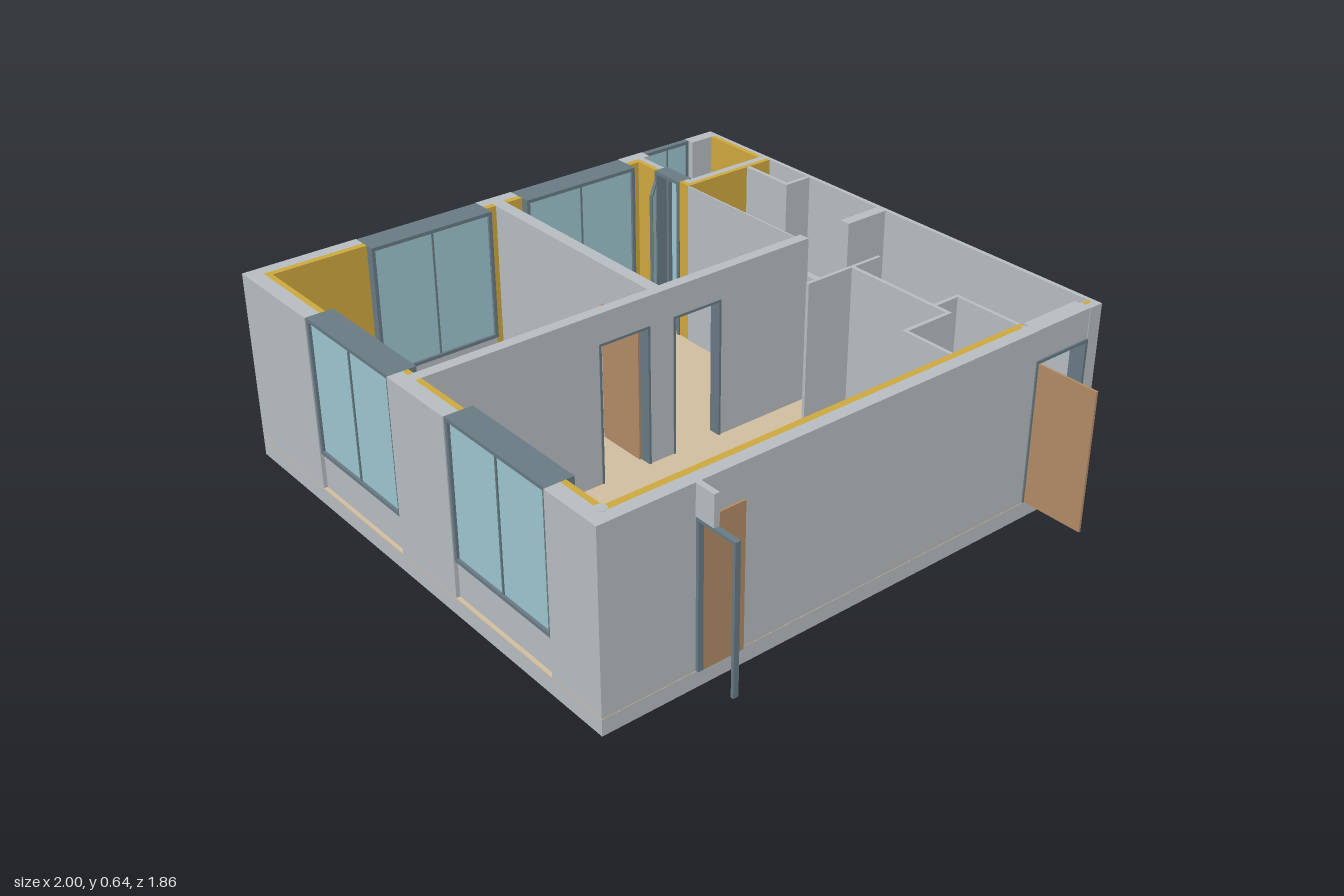
import * as THREE from 'three';

export function createModel() {
  const root = new THREE.Group();
  const mat = (name, color) => {
    const m = new THREE.MeshStandardMaterial({ color });
    m.name = name;
    return m;
  };
  const wallMat = mat('wall grey', 0xb6bcc0);
  const insulMat = mat('insulation yellow', 0xcda73f);
  const floorMat = mat('floor beige', 0xd0bda0);
  const frameMat = mat('frame slate', 0x687a83);
  const glassMat = mat('glass blue', 0x9cc4ce);
  const doorMat = mat('door brown', 0xb08a66);

  const F = 0.058, H = 0.64, DOOR = 0.54, SILL = 0.18;

  // Box from its limits on each axis
  const box = (name, m, x0, x1, z0, z1, y0 = F, y1 = H, parent = root) => {
    const b = new THREE.Mesh(new THREE.BoxGeometry(x1 - x0, y1 - y0, z1 - z0), m);
    b.position.set((x0 + x1) / 2, (y0 + y1) / 2, (z0 + z1) / 2);
    b.name = name;
    parent.add(b);
    return b;
  };
  // Box running along 'x' or 'z': a = along, c = across
  const run = (name, m, axis, a0, a1, c0, c1, y0, y1, parent) => axis === 'x'
    ? box(name, m, a0, a1, c0, c1, y0, y1, parent)
    : box(name, m, c0, c1, a0, a1, y0, y1, parent);
  // Full-height wall left open over the given gaps
  const wall = (name, m, axis, a0, a1, c0, c1, gaps = []) => {
    let s = a0;
    for (const [g0, g1] of [...gaps, [a1, a1]]) {
      if (g0 - s > 0.001) run(name, m, axis, s, g0, c0, c1);
      s = g1;
    }
  };
  // Frame of jambs and head around an opening
  const frame = (name, axis, a0, a1, c0, c1, y0, y1, t = 0.01) => {
    const g = new THREE.Group();
    g.name = name;
    run('jamb', frameMat, axis, a0, a0 + t, c0, c1, y0, y1, g);
    run('jamb', frameMat, axis, a1 - t, a1, c0, c1, y0, y1, g);
    run('head', frameMat, axis, a0 + t, a1 - t, c0, c1, y1 - t, y1, g);
    root.add(g);
    return g;
  };
  // Two-pane window with a panel below it
  const windowUnit = (axis, a0, a1, c0, c1) => {
    const g = frame('window', axis, a0, a1, c0, c1, SILL, H, 0.012);
    const mid = (a0 + a1) / 2, inset = (c1 - c0) * 0.1;
    run('sill', frameMat, axis, a0 + 0.012, a1 - 0.012, c0, c1, SILL, SILL + 0.012, g);
    run('mullion', frameMat, axis, mid - 0.003, mid + 0.003, c0 + inset / 2, c1 - inset / 2, SILL + 0.012, H - 0.012, g);
    for (const [p0, p1] of [[a0 + 0.012, mid - 0.003], [mid + 0.003, a1 - 0.012]])
      run('glassPane', glassMat, axis, p0, p1, c0 + inset, c1 - inset, SILL + 0.012, H - 0.012, g);
    run('windowPanel', wallMat, axis, a0, a1, c0 + inset, c1 - inset, F, SILL, g);
  };

  // Base and floors
  box('slab', wallMat, -1, 0.785, -0.93, 0.925, 0, 0.054);
  box('floor', floorMat, -1, 0.784, -0.929, 0.925, 0.054, F);
  box('bathroomFloor', wallMat, -0.66, -0.14, -0.81, -0.55, F, F + 0.004);
  box('bathroomFloor', wallMat, -0.46, -0.14, -0.915, -0.81, F, F + 0.004);

  // Outer walls
  const frontGaps = [[-0.617, -0.163], [0.117, 0.571]];
  const leftGaps = [[-0.51, -0.06], [0.08, 0.53]];
  const rightDoor = [-0.88, -0.655];
  wall('frontWall', wallMat, 'x', -1, 0.785, 0.875, 0.925, frontGaps);
  wall('sideWall', wallMat, 'z', -0.915, 0.875, -1, -0.957, [[-0.81, -0.615], ...leftGaps]);
  wall('entranceWall', wallMat, 'z', -0.915, 0.875, 0.743, 0.785, [rightDoor]);
  box('backWall', wallMat, -1, 0.785, -0.93, -0.915);
  box('doorHeader', wallMat, 0.725, 0.783, ...rightDoor, DOOR, H);

  // Insulation lining
  wall('insulation', insulMat, 'x', -0.957, 0.743, 0.856, 0.875, [frontGaps[0], [-0.135, -0.097], frontGaps[1]]);
  wall('insulation', insulMat, 'z', -0.55, 0.856, -0.957, -0.935, [leftGaps[0], [0, 0.043], leftGaps[1]]);
  box('insulation', insulMat, 0.72, 0.743, -0.645, 0.856);
  box('insulation', insulMat, 0.745, 0.765, -0.915, -0.885);
  box('insulation', insulMat, -0.957, -0.705, -0.915, -0.898);
  box('insulation', insulMat, -0.68, -0.663, -0.915, -0.55);
  wall('insulation', insulMat, 'x', -0.957, -0.68, -0.567, -0.55, [[-0.84, -0.71]]);

  // Windows
  for (const [a, b] of frontGaps) windowUnit('x', a, b, 0.83, 0.921);
  for (const [a, b] of leftGaps) windowUnit('z', a, b, -0.997, -0.905);
  windowUnit('z', -0.81, -0.615, -0.998, -0.978);

  // Small corner room with its glazed door
  box('cornerRoomWall', wallMat, -0.705, -0.68, -0.915, -0.567);
  wall('cornerRoomWall', wallMat, 'x', -0.957, -0.705, -0.588, -0.567, [[-0.84, -0.71]]);
  const balcony = frame('glazedDoorFrame', 'x', -0.84, -0.71, -0.6, -0.545, F, H, 0.012);
  box('post', frameMat, -0.78, -0.77, -0.59, -0.55, F, H - 0.012, balcony);
  box('lowPanel', frameMat, -0.77, -0.722, -0.58, -0.56, F, SILL, balcony);
  box('glassPane', glassMat, -0.77, -0.722, -0.575, -0.565, SILL, H - 0.012, balcony);
  const leaf = new THREE.Group();
  leaf.name = 'glazedDoorLeaf';
  box('stile', frameMat, 0, 0.012, -0.005, 0.005, F, 0.6, leaf);
  box('stile', frameMat, 0.115, 0.127, -0.005, 0.005, F, 0.6, leaf);
  box('rail', frameMat, 0.012, 0.115, -0.005, 0.005, 0.588, 0.6, leaf);
  box('rail', frameMat, 0.012, 0.115, -0.005, 0.005, F, 0.09, leaf);
  box('glassPane', glassMat, 0.012, 0.115, -0.003, 0.003, 0.09, 0.588, leaf);
  leaf.position.set(-0.84, 0, -0.548);
  leaf.rotation.y = -Math.PI / 4;
  root.add(leaf);

  // Interior walls with doorways
  const doorways = [[-0.215, -0.025], [0.065, 0.255]];
  box('centreWall', wallMat, -0.135, -0.097, -0.915, -0.75);
  wall('centreWall', wallMat, 'z', -0.575, 0.875, -0.135, -0.097, doorways);
  for (const [a, b] of doorways) {
    box('doorHeader', wallMat, -0.135, -0.097, a, b, DOOR, H);
    frame('doorFrame', 'z', a, b, -0.137, -0.095, F, DOOR, 0.008);
  }
  box('crossWall', wallMat, -0.957, -0.135, 0, 0.043);
  box('bathroomWall', wallMat, -0.663, -0.135, -0.553, -0.547);
  box('shaftWall', wallMat, -0.663, -0.46, -0.825, -0.81);
  box('shaftWall', wallMat, -0.475, -0.46, -0.915, -0.825);

  // Thin hall partitions: x0, x1, z0, z1
  for (const p of [
    [0.132, 0.144, -0.655, -0.353], [0.144, 0.475, -0.545, -0.532],
    [0.475, 0.488, -0.645, -0.532], [0.488, 0.743, -0.645, -0.633],
    [0.488, 0.548, -0.545, -0.532], [0.535, 0.548, -0.532, -0.353],
    [0.548, 0.722, -0.366, -0.353],
  ]) box('partition', wallMat, ...p);

  // Open door leaves
  box('doorLeaf', doorMat, -0.32, -0.137, 0.072, 0.08, F, 0.53);
  box('doorLeaf', doorMat, -0.32, -0.137, -0.036, -0.028, F, 0.53);
  box('entranceDoor', doorMat, 0.787, 1, -0.67, -0.662, F, 0.53);
  frame('entranceFrame', 'z', ...rightDoor, 0.735, 0.789, F, DOOR);

  // Separate doorway standing outside
  frame('outerDoorFrame', 'x', 0.786, 0.937, 0.6, 0.618, F, DOOR);
  box('outerHeader', wallMat, 0.785, 0.856, 0.6, 0.618, DOOR, H);
  box('outerDoor', doorMat, 0.789, 0.796, 0.46, 0.6, F, 0.53);

  // Bathroom fittings
  box('pipeLedge', wallMat, -0.45, -0.145, -0.9, -0.875, F, 0.3);
  box('sinkTop', wallMat, -0.43, -0.315, -0.875, -0.775, 0.25, 0.272);
  const round = (name, m, r0, r1, x, z, y0, y1, sz = 1) => {
    const c = new THREE.Mesh(new THREE.CylinderGeometry(r1, r0, y1 - y0, 24), m);
    c.position.set(x, (y0 + y1) / 2, z);
    c.scale.z = sz;
    c.name = name;
    root.add(c);
  };
  round('sinkBasin', wallMat, 0.03, 0.05, -0.372, -0.815, 0.2, 0.278, 0.7);
  round('sinkPedestal', wallMat, 0.02, 0.02, -0.372, -0.83, F, 0.2);
  box('tap', frameMat, -0.375, -0.369, -0.875, -0.84, 0.285, 0.292);
  round('toiletBowl', wallMat, 0.025, 0.043, -0.228, -0.805, F, 0.16, 1.4);
  round('toiletSeat', wallMat, 0.043, 0.043, -0.228, -0.805, 0.16, 0.17, 1.4);
  round('pipe', wallMat, 0.018, 0.018, 0.728, 0.868, F, H + 0.001);

  return root;
}
